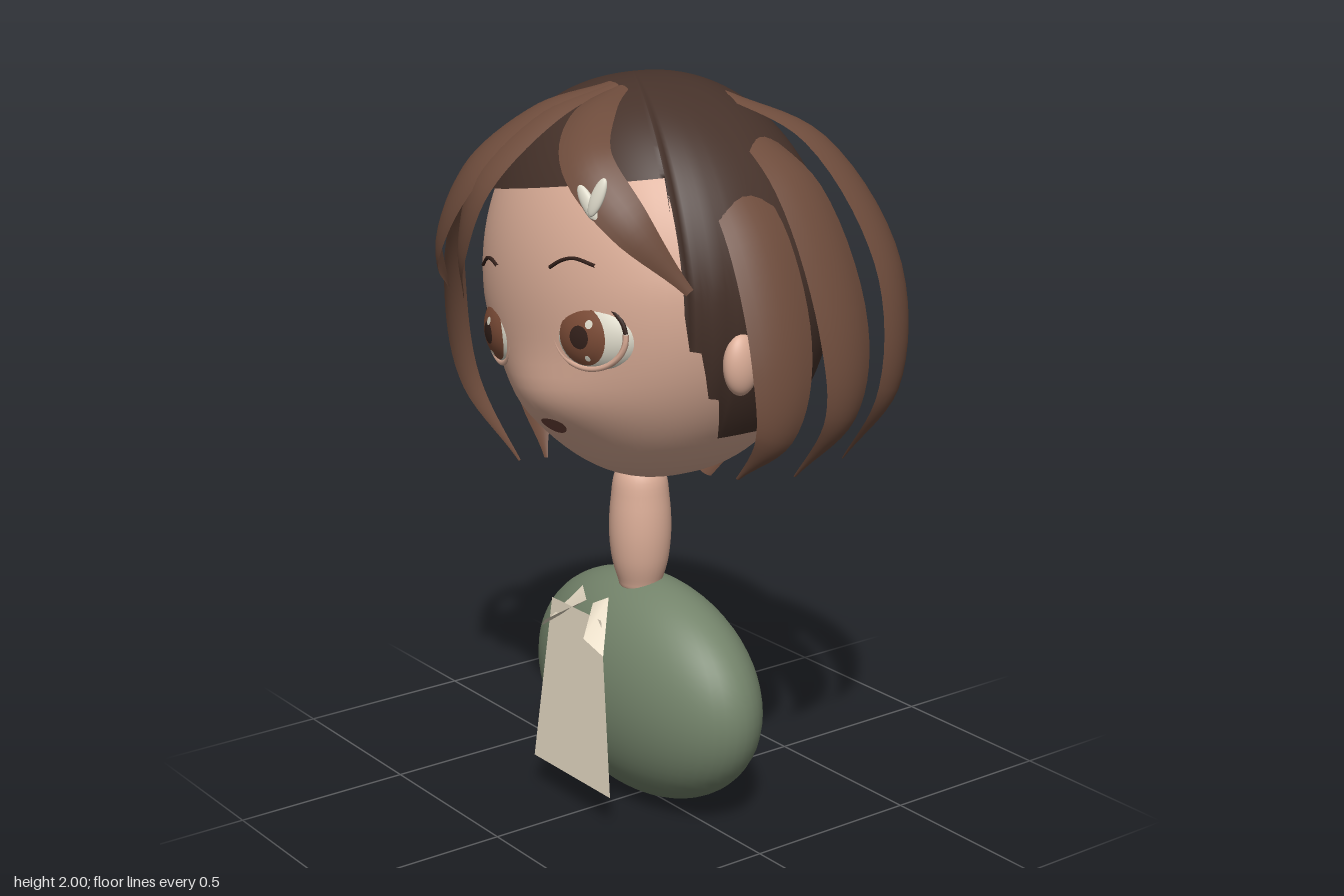
import * as THREE from 'three';
import { mergeVertices } from 'three/addons/utils/BufferGeometryUtils.js';

const paint = (name, color, double = false) => {
  const m = new THREE.MeshStandardMaterial({ color });
  m.name = name;
  if (double) m.side = THREE.DoubleSide;
  return m;
};

export function createModel() {
  const skin = paint('skin', 0xdcae98);
  const capHair = paint('dark hair', 0x46322a, true);
  const lockHair = paint('brown hair', 0x6e4c3c, true);
  const green = paint('green cloth', 0x74846b);
  const cream = paint('cream cloth', 0xe6dac4, true);
  const white = paint('eye white', 0xdedaca);
  const irisBrown = paint('iris brown', 0x7c4c37);
  const dark = paint('lash dark', 0x35221c);
  const lip = paint('lip', 0x6b4238);

  const model = new THREE.Group();
  const add = (parent, name, geo, mat, pos = [0, 0, 0]) => {
    const mesh = new THREE.Mesh(geo, mat);
    mesh.name = name;
    mesh.position.set(...pos);
    parent.add(mesh);
    return mesh;
  };
  const ball = (rx, ry, rz) => new THREE.SphereGeometry(1, 48, 32).scale(rx, ry, rz);
  // Moves every vertex by a rule, then smooths the result
  const reshape = (geo, rule) => {
    const p = geo.attributes.position, uv = geo.attributes.uv;
    const v = new THREE.Vector3();
    for (let i = 0; i < p.count; i++) {
      v.fromBufferAttribute(p, i);
      rule(v, uv.getX(i), uv.getY(i));
      p.setXYZ(i, v.x, v.y, v.z);
    }
    geo.deleteAttribute('uv');
    geo.deleteAttribute('normal');
    const out = mergeVertices(geo, 1e-5);
    out.computeVertexNormals();
    return out;
  };

  // Body and neck
  add(model, 'body', ball(0.44, 0.315, 0.208), green, [-0.03, 0.32, -0.023]);
  const neckProfile = [[0, 0.6], [0.05, 0.605], [0.062, 0.63], [0.078, 0.69], [0.085, 0.77], [0.08, 0.86], [0.064, 0.94], [0, 1.0]]
    .map(([r, y]) => new THREE.Vector2(r, y));
  add(model, 'neck', new THREE.LatheGeometry(new THREE.SplineCurve(neckProfile).getPoints(32), 32), skin, [-0.03, 0, 0]);

  // Flat pieces of cloth: four corners each
  const quad = (a, b, c, d) => {
    const g = new THREE.BufferGeometry();
    g.setAttribute('position', new THREE.Float32BufferAttribute([...a, ...b, ...c, ...d], 3));
    g.setIndex([0, 1, 2, 0, 2, 3]);
    g.computeVertexNormals();
    return g;
  };
  add(model, 'bib', quad([-0.21, 0.1, 0.235], [0.15, 0.1, 0.235], [0.065, 0.575, 0.2], [-0.165, 0.575, 0.2]), cream);
  for (const s of [-1, 1]) {
    const at = (x, y, z) => [-0.03 + s * x, y, z];
    const corners = [at(0.015, 0.595, 0.17), at(0.09, 0.535, 0.255), at(0.145, 0.495, 0.23), at(0.06, 0.62, 0.15)];
    if (s > 0) corners.reverse();
    add(model, s > 0 ? 'leftCollar' : 'rightCollar', quad(...corners), cream);
  }

  // Head, tilted to one side
  const head = new THREE.Group();
  head.name = 'head';
  head.position.set(-0.05, 1.455, -0.07);
  head.rotation.z = 0.17;
  model.add(head);

  const muzzle = (x, y) => 0.035 * Math.exp(-(((y + 0.27) / 0.1) ** 2) - (x / 0.22) ** 2);
  const headPoint = (v, kx, k) => {
    const { x: X, y: Y, z: Z } = v;
    v.x = 0.485 * X * (1 + 0.1 * Math.min(0, Y)) * kx;
    v.y = 0.53 * Y * k;
    v.z = k * (Z > 0 ? 0.43 * Z ** 0.8 + muzzle(v.x, v.y) * Math.min(1, Z * 2) : -0.41 * Math.abs(Z) ** 0.9);
  };
  const faceZ = (x, y) => {
    const rx = 0.485 * (1 + 0.1 * Math.min(0, y / 0.53));
    return 0.43 * Math.max(0, 1 - (x / rx) ** 2 - (y / 0.53) ** 2) ** 0.4 + muzzle(x, y);
  };
  add(head, 'face', reshape(new THREE.SphereGeometry(1, 64, 48), v => headPoint(v, 1, 1)), skin);

  // Hair cap: a dome whose lower edge follows the stepped hairline
  const hairline = [[0, 0.28], [60, 0.28], [62, -0.15], [67, -0.16], [69, -0.28], [75, -0.29], [77, -0.4], [181, -0.41]];
  const edgeHeight = deg => {
    const i = Math.max(1, hairline.findIndex(h => h[0] > deg));
    const [a, ya] = hairline[i - 1], [b, yb] = hairline[i];
    return ya + (yb - ya) * (deg - a) / (b - a);
  };
  const dome = new THREE.SphereGeometry(1, 180, 40, 0, Math.PI * 2, 0, 3);
  add(head, 'hairCap', reshape(dome, (v, u, w) => {
    const a = u * Math.PI * 2;
    const sx = -Math.cos(a), cz = Math.sin(a);
    const deg = Math.abs(Math.atan2(sx, cz)) * 180 / Math.PI;
    const t = (1 - w) * Math.acos(edgeHeight(deg) / (0.53 * 1.03));
    v.set(sx * Math.sin(t), Math.cos(t), cz * Math.sin(t));
    headPoint(v, 1.075, 1.03);
  }), capHair);

  // Eyes, lashes, brows and ears, mirrored
  const tube = (pts, r) => new THREE.TubeGeometry(new THREE.CatmullRomCurve3(pts), 24, r, 6);
  const R = [0.138, 0.108, 0.085];
  const eyeZ = (x, y) => R[2] * Math.sqrt(Math.max(0, 1 - (x / R[0]) ** 2 - (y / R[1]) ** 2));
  const eyeDisc = (r, cx, cy, lift) => reshape(new THREE.RingGeometry(0.0001, r, 32, 6), v => {
    v.x += cx; v.y += cy;
    v.z = eyeZ(v.x, v.y) + lift;
  });
  const lidArc = (from, to, r) => {
    const pts = [];
    for (let i = 0; i <= 12; i++) {
      const t = from + (to - from) * i / 12;
      const x = 0.112 * Math.cos(t), y = 0.085 * Math.sin(t);
      pts.push(new THREE.Vector3(x, y, eyeZ(x, y) + 0.002));
    }
    return tube(pts, r);
  };
  for (const s of [-1, 1]) {
    const side = s > 0 ? 'left' : 'right';
    const eye = new THREE.Group();
    eye.name = side + 'Eye';
    eye.position.set(s * 0.195, -0.095, 0.326);
    eye.rotation.y = s * 0.3;
    head.add(eye);
    add(eye, 'eyeball', ball(...R), white);
    add(eye, 'iris', eyeDisc(0.075, -s * 0.01, 0, 0.002), irisBrown);
    add(eye, 'pupil', eyeDisc(0.03, -s * 0.01, 0, 0.004), dark);
    add(eye, 'highlight', eyeDisc(0.011, 0.025, 0.032, 0.006), white);
    add(eye, 'smallHighlight', eyeDisc(0.008, 0.005, -0.055, 0.006), white);
    add(eye, 'upperLashes', lidArc(0, Math.PI, 0.006), dark);
    add(eye, 'lowerLid', lidArc(Math.PI, Math.PI * 2, 0.008), skin);
    const brow = [[0.122, 0.082], [0.16, 0.098], [0.2, 0.102], [0.26, 0.08]]
      .map(([x, y]) => new THREE.Vector3(s * x, y, faceZ(x, y) + 0.002));
    add(head, side + 'Brow', tube(brow, 0.005), dark);
    add(head, side + 'Ear', ball(0.036, 0.08, 0.05), skin, [s * 0.47, -0.2, 0.11]).rotation.z = -s * 0.15;
  }
  add(head, 'mouth', reshape(new THREE.RingGeometry(0.0001, 1, 32, 4), v => {
    v.x *= 0.05;
    v.y = v.y * (v.y > 0 ? 0.018 : 0.026) - 0.334;
    v.z = faceZ(v.x, v.y) + 0.006;
  }), lip);

  // Locks of hair: curved ribbons along a path, each point x, y, z, half width
  const centre = new THREE.Vector3(-0.05, 1.4, -0.07);
  const lock = (name, pts) => {
    const curve = new THREE.CatmullRomCurve3(pts.map(p => new THREE.Vector3(p[0], p[1], p[2])));
    const widths = new THREE.SplineCurve(pts.map((p, i) => new THREE.Vector2(i, p[3])));
    const geo = reshape(new THREE.PlaneGeometry(1, 1, 6, 28), (v, u, t) => {
      const s = u * 2 - 1, p = curve.getPoint(t), w = widths.getPoint(t).y;
      const out = p.clone().sub(centre).normalize();
      const across = curve.getTangent(t).cross(out).normalize();
      v.copy(p).addScaledVector(across, s * w).addScaledVector(out, w * 0.2 * (1 - s * s));
    });
    add(model, name, geo, lockHair);
  };
  lock('outerFringe', [[-0.04, 1.985, 0.08, 0.025], [-0.08, 1.93, 0.26, 0.06], [-0.16, 1.78, 0.43, 0.075], [-0.28, 1.58, 0.46, 0.06], [-0.4, 1.42, 0.36, 0.006]]);
  lock('innerFringe', [[-0.03, 1.985, 0.08, 0.02], [-0.04, 1.92, 0.28, 0.05], [-0.09, 1.76, 0.45, 0.06], [-0.16, 1.58, 0.47, 0.045], [-0.25, 1.43, 0.41, 0.006]]);
  lock('leftFringe', [[-0.04, 1.985, 0.03, 0.02], [0.1, 1.94, 0.24, 0.06], [0.24, 1.85, 0.36, 0.065], [0.38, 1.72, 0.34, 0.055], [0.47, 1.55, 0.22, 0.012]]);
  lock('leftLockFront', [[0.27, 1.84, -0.01, 0.07], [0.45, 1.64, -0.01, 0.09], [0.56, 1.36, 0, 0.09], [0.57, 1.17, 0.03, 0.06], [0.5, 1.06, 0.09, 0.006]]);
  lock('leftLockMiddle', [[0.2, 1.9, -0.14, 0.05], [0.41, 1.75, -0.17, 0.09], [0.57, 1.42, -0.19, 0.1], [0.6, 1.2, -0.16, 0.065], [0.52, 1.04, -0.08, 0.006]]);
  lock('leftLockRear', [[0.1, 1.955, -0.17, 0.035], [0.32, 1.85, -0.3, 0.075], [0.52, 1.55, -0.38, 0.095], [0.6, 1.25, -0.32, 0.065], [0.52, 1.06, -0.24, 0.006]]);
  lock('backLock', [[-0.01, 1.9, -0.25, 0.04], [0.01, 1.75, -0.39, 0.08], [0.02, 1.45, -0.48, 0.1], [0.01, 1.13, -0.43, 0.09], [-0.03, 0.89, -0.22, 0.04]]);
  lock('rightLockFront', [[-0.3, 1.85, 0.21, 0.03], [-0.45, 1.64, 0.28, 0.065], [-0.56, 1.35, 0.24, 0.07], [-0.55, 1.1, 0.2, 0.05], [-0.42, 0.89, 0.13, 0.006]]);
  lock('rightLockMiddle', [[-0.46, 1.66, -0.1, 0.05], [-0.55, 1.47, -0.08, 0.085], [-0.59, 1.22, -0.06, 0.085], [-0.57, 1.02, -0.03, 0.06], [-0.48, 0.86, 0, 0.006]]);
  lock('rightLockRear', [[-0.33, 1.84, -0.23, 0.03], [-0.48, 1.66, -0.33, 0.065], [-0.57, 1.38, -0.38, 0.09], [-0.56, 1.1, -0.34, 0.065], [-0.46, 0.89, -0.25, 0.006]]);

  // Leaf-shaped hair clip
  for (const [x, y, tilt] of [[0.3, 1.765, 0.7], [0.34, 1.785, -0.25]]) {
    const leaf = add(model, 'hairClipLeaf', ball(0.018, 0.05, 0.01), white, [x, y, 0.4]);
    leaf.rotation.set(-0.2, 0.4, tilt);
  }
  return model;
}
